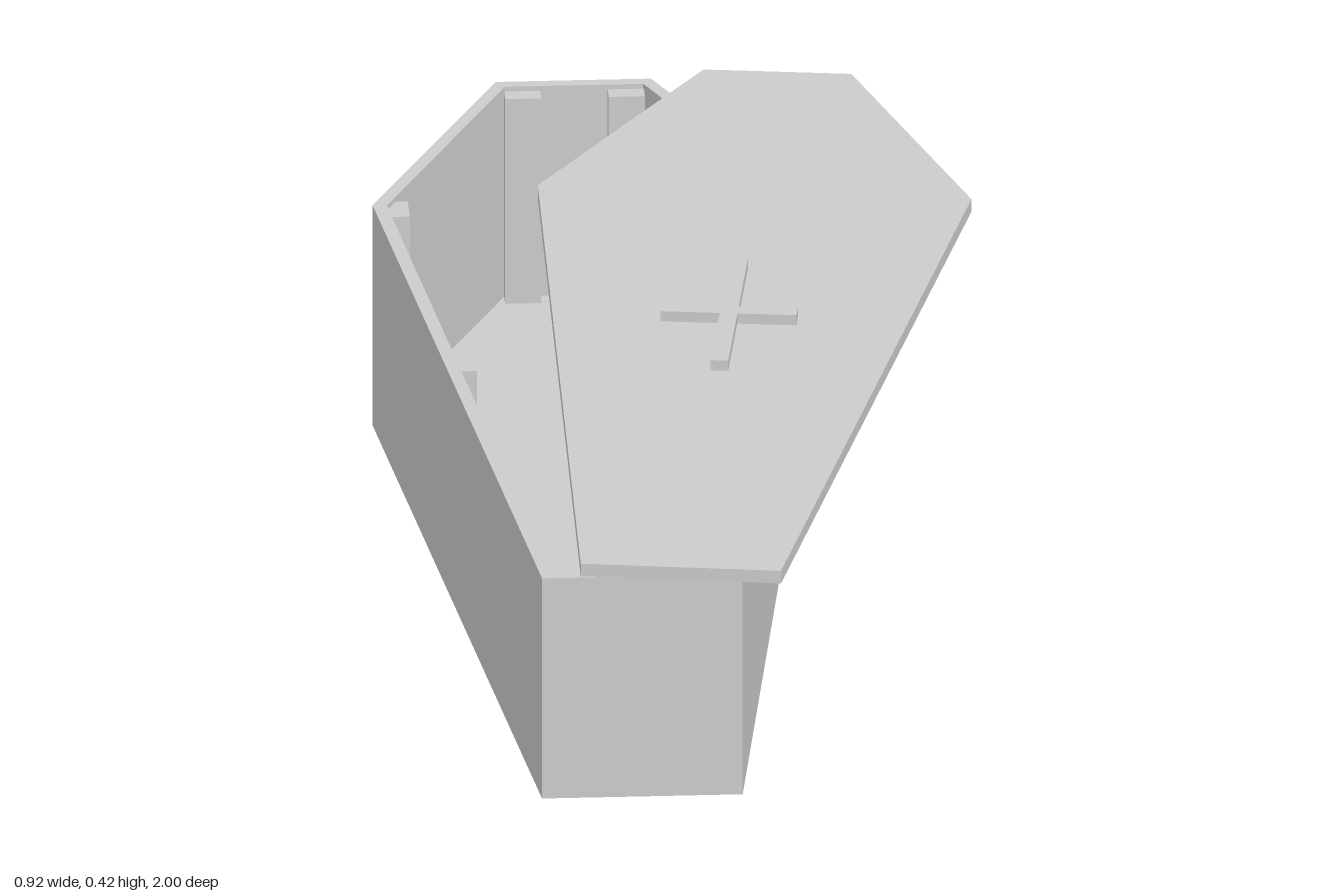
import * as THREE from 'three';

const material = new THREE.MeshStandardMaterial({ color: 0xcccccc, flatShading: true });
const CENTRE = -0.125; // x of the case's own mid-line

// Mirrored six-sided outline from [halfWidth, z] pairs
const hexagon = (pairs) => [
  ...pairs.map(([w, z]) => [CENTRE + w, z]),
  ...pairs.map(([w, z]) => [CENTRE - w, z]).reverse(),
];
const toPoints = (outline) => outline.map(([x, z]) => new THREE.Vector2(x, -z));

// Upright slab between two heights, with an optional hole wound the other way
function slab(name, outline, y0, y1, hole) {
  const shape = new THREE.Shape(toPoints(outline));
  if (hole) shape.holes.push(new THREE.Path(toPoints(hole).reverse()));
  const geometry = new THREE.ExtrudeGeometry(shape, { depth: y1 - y0, bevelEnabled: false });
  geometry.rotateX(-Math.PI / 2);
  const mesh = new THREE.Mesh(geometry, material);
  mesh.name = name;
  mesh.position.y = y0;
  return mesh;
}

function box(name, w, h, d, x, y, z) {
  const mesh = new THREE.Mesh(new THREE.BoxGeometry(w, h, d), material);
  mesh.name = name;
  mesh.position.set(x, y, z);
  return mesh;
}

export function createModel() {
  const model = new THREE.Group();
  model.name = 'coffin';

  // Case: hollow tapered walls and a floor
  const outer = hexagon([[0.12, -1], [0.336, -0.525], [0.155, 0.958]]);
  const inner = hexagon([[0.107, -0.98], [0.314, -0.522], [0.138, 0.937]]);
  model.add(slab('walls', outer, 0.016, 0.385, inner));
  model.add(slab('floor', inner, 0.016, 0.034));

  // Inside corner and side posts: [offset from mid-line, z, width, depth]
  const posts = [
    ['headPost', 0.08, -0.966, 0.056, 0.032],
    ['shoulderPost', 0.298, -0.526, 0.036, 0.06],
    ['sidePost', 0.228, 0.095, 0.036, 0.046],
    ['footPost', 0.118, 0.921, 0.046, 0.036],
  ];
  for (const side of [-1, 1]) {
    for (const [name, offset, z, w, d] of posts) {
      model.add(box(name, w, 0.345, d, CENTRE + side * offset, 0.2045, z));
    }
  }

  // Slats under the case
  model.add(box('headSlat', 0.425, 0.016, 0.124, CENTRE, 0.008, -0.552));
  model.add(box('footSlat', 0.327, 0.016, 0.104, CENTRE, 0.008, 0.597));

  // Lid, slid aside and turned
  const lid = [
    [0.075, -0.98], [0.302, -0.95], [0.46, -0.447],
    [0.087, 1], [-0.22, 0.955], [-0.205, -0.538],
  ];
  model.add(slab('lid', lid, 0.386, 0.407));

  // Raised cross on the lid, one outline
  const a = 0.0135, arm = 0.105, stem = 0.2;
  const cross = slab('cross', [
    [a, -stem], [a, -a], [arm, -a], [arm, a], [a, a], [a, stem],
    [-a, stem], [-a, a], [-arm, a], [-arm, -a], [-a, -a], [-a, -stem],
  ], 0.407, 0.424);
  cross.position.x = 0.061;
  cross.position.z = 0.008;
  cross.rotation.y = -0.13;
  model.add(cross);

  return model;
}
